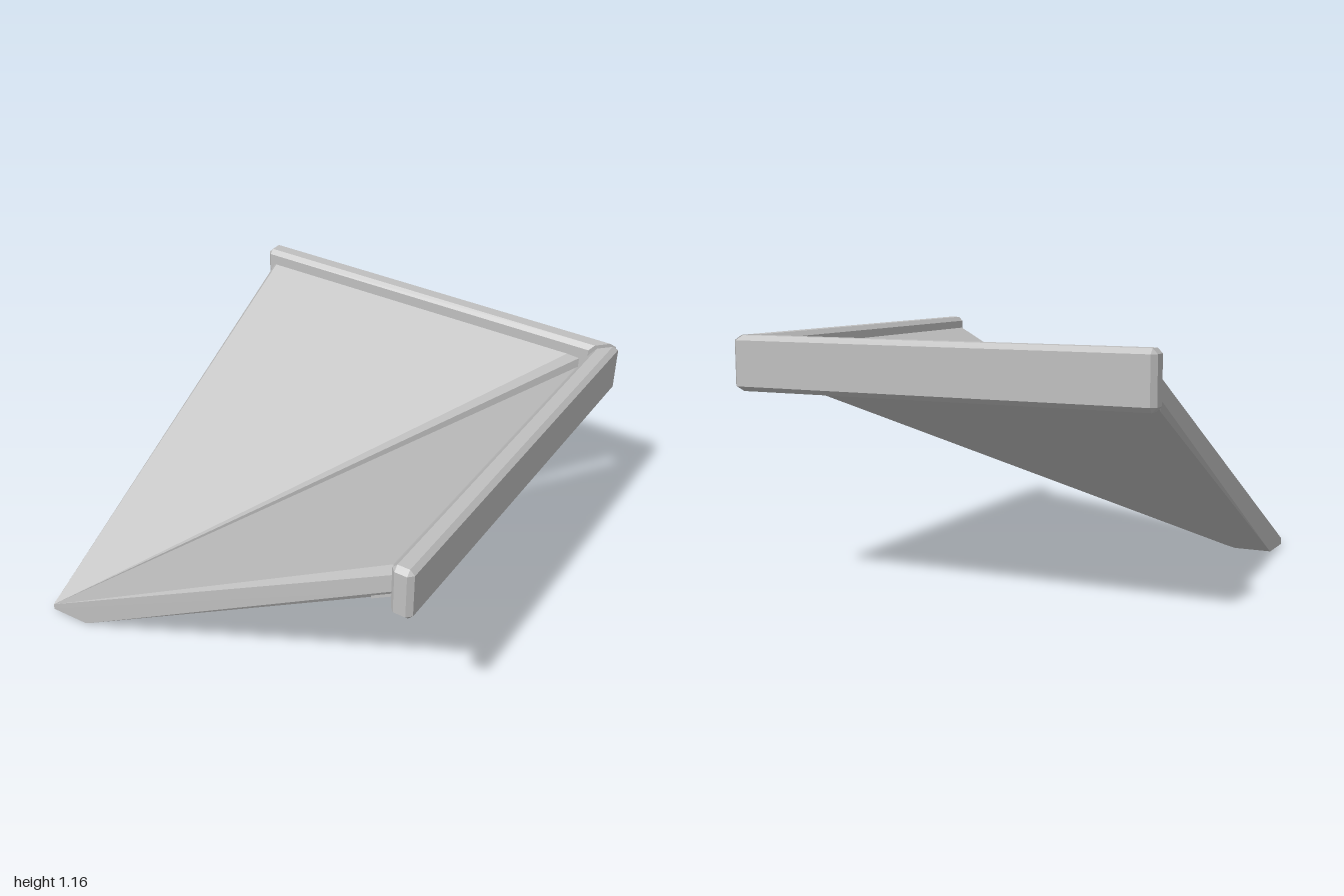
import * as THREE from 'three';
import { ConvexGeometry } from 'three/addons/geometries/ConvexGeometry.js';

const SLOPE = 0.574;
const topY = (x) => 0.03 + SLOPE * (x + 1);            // upper surface of a panel
const edgeZ = (x, inset = 0) => 1 - (0.024 + inset) * (x + 1);  // outer side edge
const seamZ = (x, inset = 0) => 1 - (0.968 - inset) * (x + 1);  // edge beside the diagonal gap

export function createModel() {
  const group = new THREE.Group();
  const concrete = new THREE.MeshStandardMaterial({ color: 0xbfbfbf });

  // Convex solid; mirrored parts are reflected across the diagonal x = -z
  function solid(name, points, mirrored) {
    const verts = points.map(([x, y, z]) =>
      mirrored ? new THREE.Vector3(-z, y, -x) : new THREE.Vector3(x, y, z));
    const mesh = new THREE.Mesh(new ConvexGeometry(verts), concrete);
    mesh.name = name;
    group.add(mesh);
  }

  // Sloping triangular panel, narrowing to the foot
  const panel = [[-1, 0, 1], [-1, 0.03, 1]];
  const addPair = (list, x, y, inset) =>
    list.push([x, y, edgeZ(x, inset)], [x, y, seamZ(x, inset)]);
  addPair(panel, -0.8, 0, 0.004);
  addPair(panel, -0.765, 0.018, 0.004);
  addPair(panel, 0.9, topY(0.9) - 0.15, 0.01);
  addPair(panel, 0.9, topY(0.9) - 0.12, 0);
  addPair(panel, 0.9, topY(0.9) - 0.035, 0);
  addPair(panel, 0.875, topY(0.875), 0.016);

  // Shallow bearing lip under the panel, next to the beam
  const lip = [];
  for (const x of [0.79, 0.92]) {
    addPair(lip, x, topY(x) - 0.154, 0.006);
    addPair(lip, x, topY(x) - 0.12, 0.006);
  }

  // Chamfered edge beam with a mitred inner corner
  const beam = [];
  const [x0, x1, y0, y1, c] = [0.9, 1, 0.915, 1.165, 0.022];
  for (const [inX, inY, inZ] of [[c, 0, c], [0, c, c], [c, c, 0]]) {
    for (const x of [x0 + inX, x1 - inX]) {
      for (const y of [y0 + inY, y1 - inY]) {
        beam.push([x, y, 1 - inZ]);
        if (inZ) beam.push([x, y, 0.02 - x]);
      }
    }
  }

  for (const mirrored of [false, true]) {
    const side = mirrored ? 'back' : 'left';
    solid(side + 'Panel', panel, mirrored);
    solid(side + 'BearingLip', lip, mirrored);
    solid(side + 'EdgeBeam', beam, mirrored);
  }
  return group;
}
